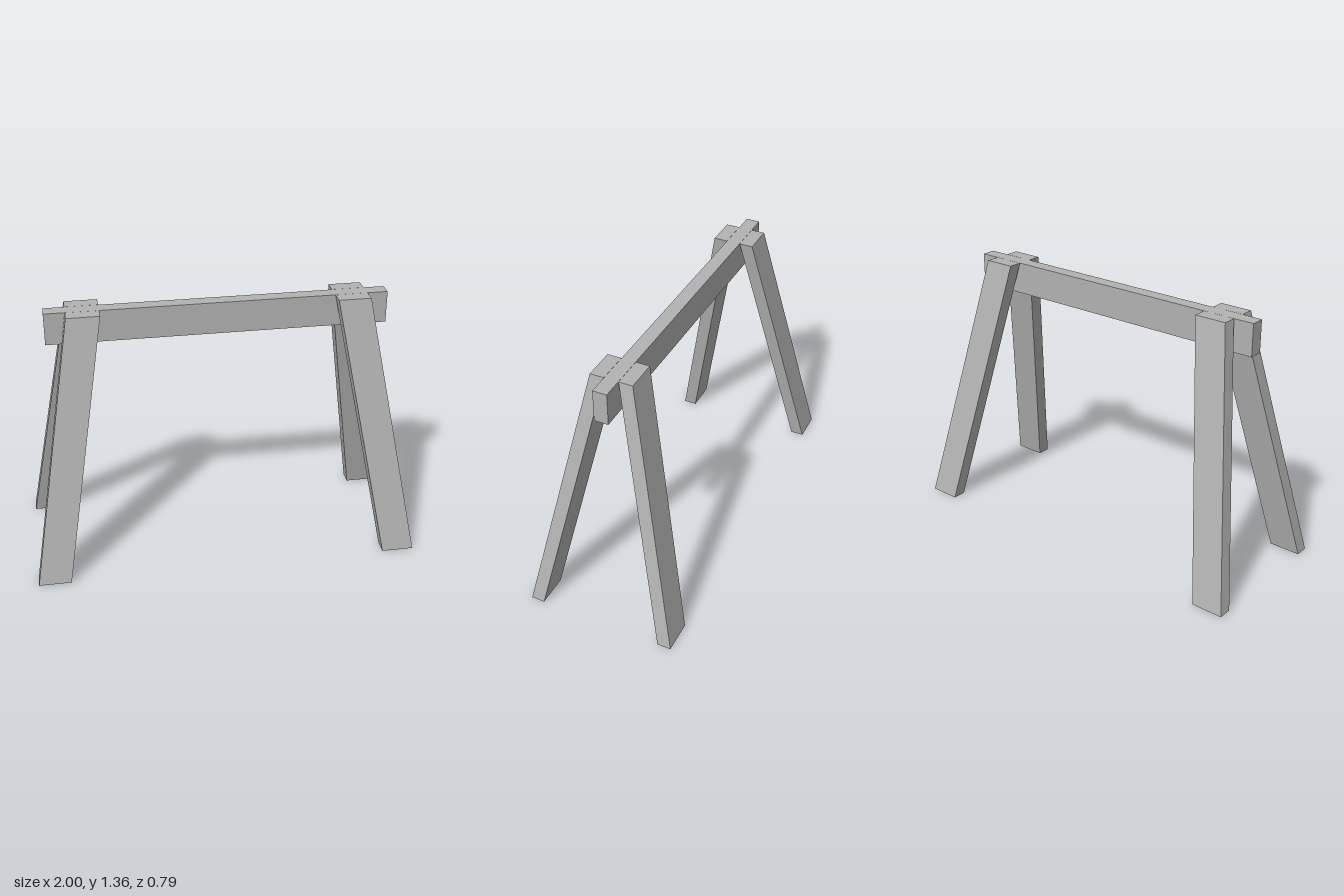
import * as THREE from 'three';

const HEIGHT = 1.355;

// Box whose foot is shifted outward, keeping both ends horizontal
function slantedLeg(sx, sz) {
  const geo = new THREE.BoxGeometry(0.167, HEIGHT, 0.071);
  const pos = geo.attributes.position;
  for (let i = 0; i < pos.count; i++) {
    const foot = pos.getY(i) < 0;
    pos.setXYZ(
      i,
      pos.getX(i) + sx * (foot ? 0.9165 : 0.6785),
      foot ? 0 : HEIGHT,
      pos.getZ(i) + sz * (foot ? 0.3595 : 0.0725)
    );
  }
  // Unshared corners keep the faces flat
  const flat = geo.toNonIndexed();
  flat.computeVertexNormals();
  return flat;
}

export function createModel() {
  const group = new THREE.Group();
  group.name = 'sawhorse';
  const grey = new THREE.MeshStandardMaterial({ color: 0xb2b2b2 });
  grey.name = 'grey';

  // Top rail
  const beam = new THREE.Mesh(new THREE.BoxGeometry(1.736, 0.166, 0.072), grey);
  beam.name = 'beam';
  beam.position.y = HEIGHT - 0.083;
  group.add(beam);

  // Four splayed legs
  for (const sx of [-1, 1]) {
    for (const sz of [-1, 1]) {
      const leg = new THREE.Mesh(slantedLeg(sx, sz), grey);
      leg.name = (sz > 0 ? 'front' : 'back') + (sx > 0 ? 'Left' : 'Right') + 'Leg';
      group.add(leg);
    }
  }
  return group;
}
